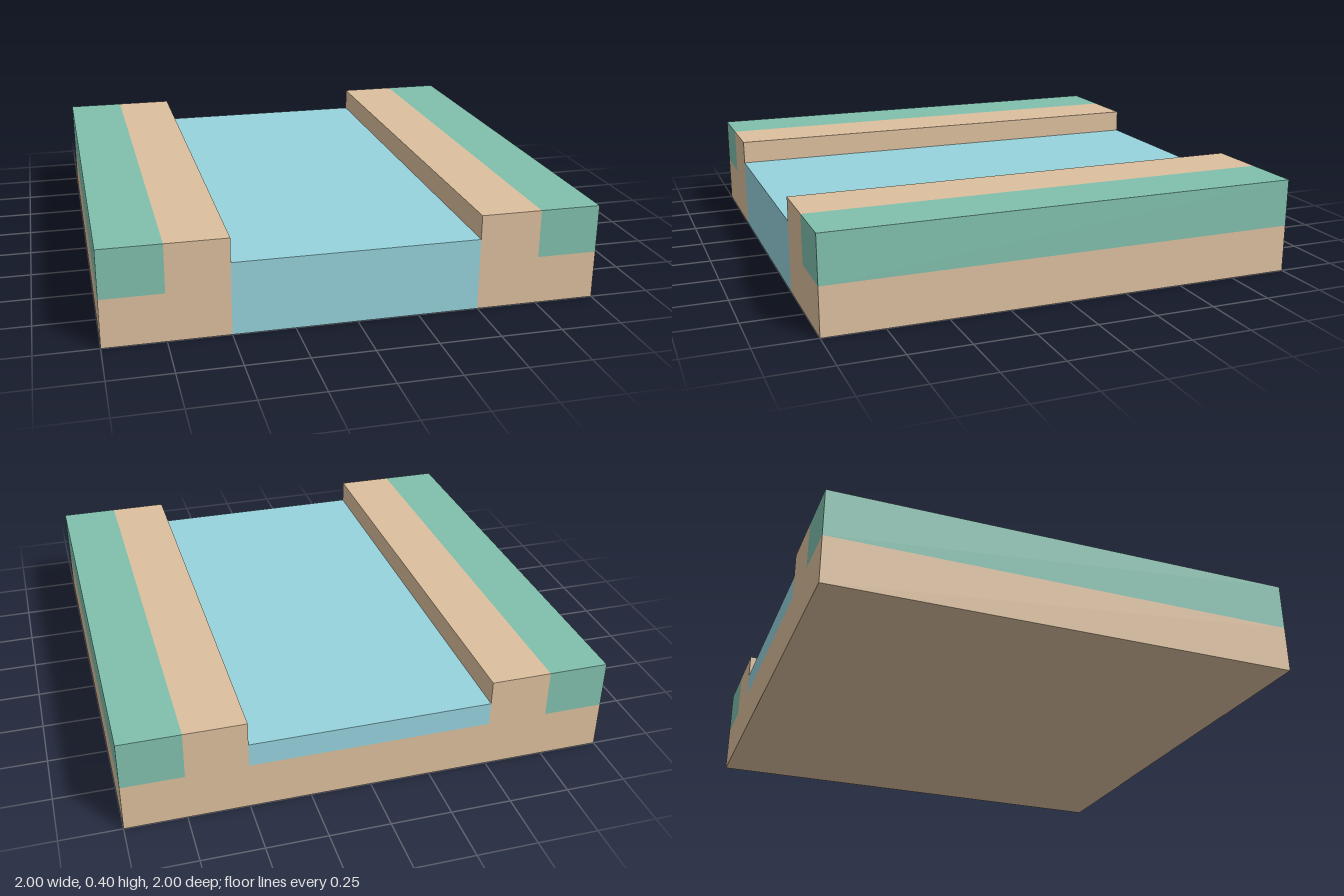
import * as THREE from 'three';

const sand = new THREE.MeshStandardMaterial({ color: 0xdcbf9e, flatShading: true });
const grass = new THREE.MeshStandardMaterial({ color: 0x81c0ad, flatShading: true });
const water = new THREE.MeshStandardMaterial({ color: 0x96d3dd, flatShading: true });

// Box given by its minimum and maximum corners
function block(name, material, [x0, y0, z0], [x1, y1, z1]) {
  const mesh = new THREE.Mesh(new THREE.BoxGeometry(x1 - x0, y1 - y0, z1 - z0), material);
  mesh.name = name;
  mesh.position.set((x0 + x1) / 2, (y0 + y1) / 2, (z0 + z1) / 2);
  return mesh;
}

// L-shaped sandy bank, stepped on its outer side to hold the grass
function bank(name, side) {
  const points = [[0.5, 0], [1, 0], [1, 0.2], [0.75, 0.2], [0.75, 0.4], [0.5, 0.4]];
  const shape = new THREE.Shape(points.map(([x, y]) => new THREE.Vector2(side * x, y)));
  const geometry = new THREE.ExtrudeGeometry(shape, { depth: 2, bevelEnabled: false });
  geometry.translate(0, 0, -1);
  const mesh = new THREE.Mesh(geometry, sand);
  mesh.name = name;
  return mesh;
}

export function createModel() {
  const model = new THREE.Group();
  model.name = 'riverTile';

  // Banks and grass strips on both sides
  for (const [label, side] of [['left', 1], ['right', -1]]) {
    model.add(bank(label + 'Bank', side));
    const strip = block(label + 'Grass', grass, [0.75, 0.2, -1], [1, 0.4, 1]);
    strip.position.x *= side;
    model.add(strip);
  }

  // River bed, ending just behind the waterfall sheet
  model.add(block('riverBed', sand, [-0.5, 0, -1], [0.5, 0.2, 0.998]));

  // River surface layer
  model.add(block('river', water, [-0.5, 0.2, -1], [0.5, 0.3, 1]));

  // Waterfall sheet covering the front end of the bed
  const fall = new THREE.Mesh(new THREE.PlaneGeometry(1, 0.2), water);
  fall.name = 'waterfall';
  fall.position.set(0, 0.1, 1);
  model.add(fall);

  return model;
}
